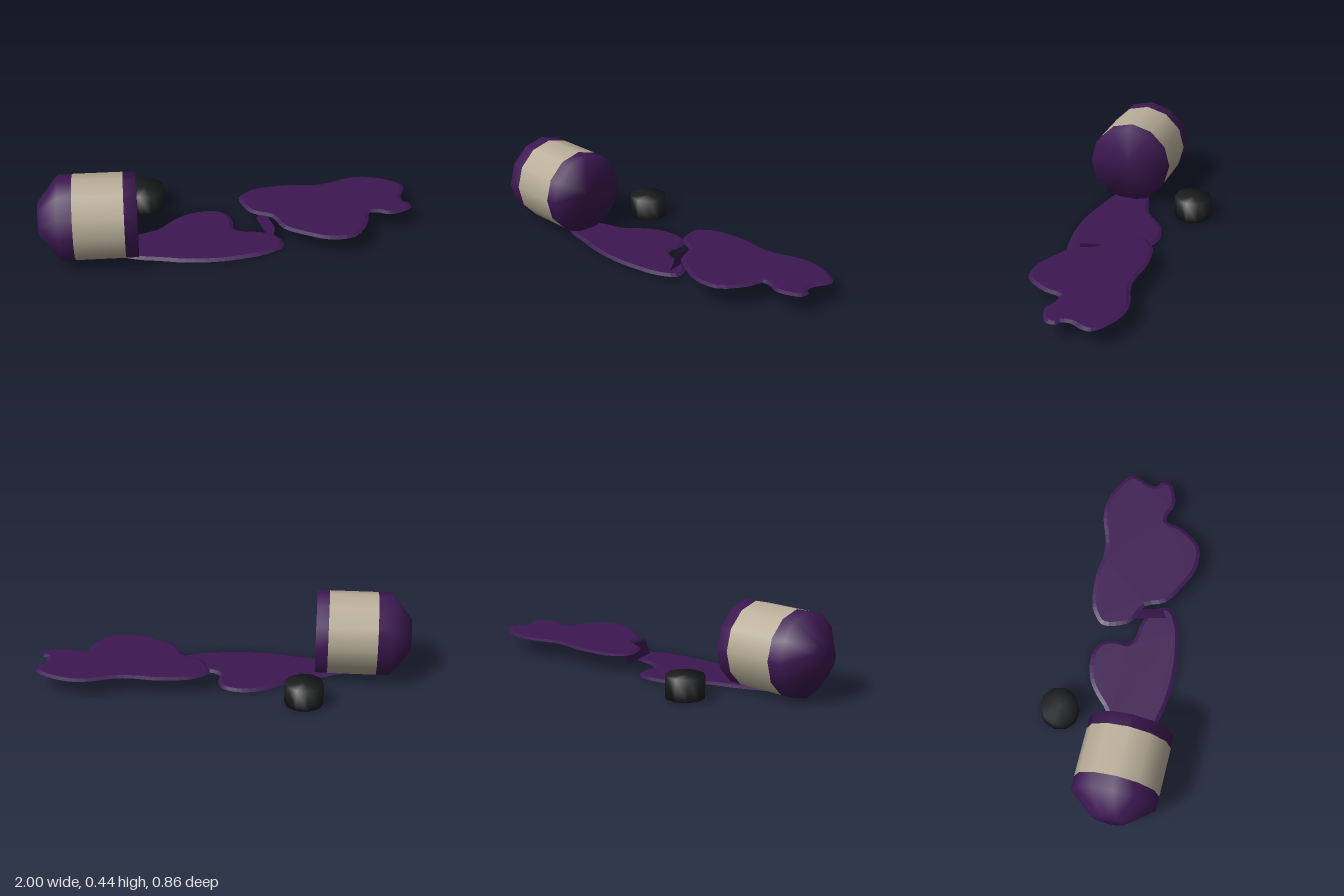
import * as THREE from 'three';

const material = (color) => new THREE.MeshStandardMaterial({ color, side: THREE.DoubleSide });
const purple = material(0x3d1852);
const cream = material(0xb8ad98);
const black = material(0x1b1c1e);

function addMesh(parent, name, geometry, mat) {
  const mesh = new THREE.Mesh(geometry, mat);
  mesh.name = name;
  parent.add(mesh);
  return mesh;
}

const lathe = (profile, sides) =>
  new THREE.LatheGeometry(profile.map(([r, y]) => new THREE.Vector2(r, y)), sides);

// Thin pool with a flat underside and a gently sloping rim, from an [x, z] outline
function poolGeometry(outline, height) {
  const curve = new THREE.CatmullRomCurve3(
    outline.map(([x, z]) => new THREE.Vector3(x, z, 0)), true, 'centripetal');
  const points = curve.getPoints(outline.length * 3).slice(0, -1);
  const shape = new THREE.Shape(points.map((p) => new THREE.Vector2(p.x, p.y)));
  const geometry = new THREE.ExtrudeGeometry(shape, {
    depth: 0.001, bevelThickness: height, bevelSize: 0.02, bevelOffset: -0.02, bevelSegments: 1,
  });
  geometry.rotateX(Math.PI / 2);
  const pos = geometry.attributes.position;
  for (let i = 0; i < pos.count; i++) pos.setY(i, Math.max(0, pos.getY(i)));
  geometry.computeVertexNormals();
  return geometry;
}

export function createModel() {
  const model = new THREE.Group();
  model.name = 'spilledJar';

  // Jar lying on its side; its local y axis runs from the base to the mouth
  const jar = new THREE.Group();
  jar.name = 'jar';
  const R = 0.22;
  addMesh(jar, 'jarBody',
    lathe([[0, -0.5], [0.088, -0.5], [R, -0.395], [R, 0], [0, 0]], 12), purple);
  addMesh(jar, 'jarLabel', lathe([[R + 0.001, -0.322], [R + 0.001, -0.065]], 12), cream);
  jar.rotation.set(0, -THREE.MathUtils.degToRad(14), -Math.PI / 2);
  jar.position.set(-0.492, 0.222, 0.043);
  model.add(jar);

  // Lid standing behind the jar
  const lid = addMesh(model, 'lid',
    lathe([[0, 0], [0.101, 0], [0.101, 0.115], [0, 0.115]], 10), black);
  lid.position.set(-0.348, 0.005, -0.333);

  // Lower pool, spreading out of the mouth
  const lowerPool = addMesh(model, 'lowerPool', poolGeometry([
    [-0.68, -0.03], [-0.58, -0.06], [-0.47, -0.08], [-0.35, -0.09], [-0.25, -0.145],
    [-0.17, -0.175], [-0.05, -0.175], [0.02, -0.14], [0.047, -0.1], [0.05, -0.03],
    [0.035, 0.02], [0.06, 0.06], [0.17, 0.11], [0.23, 0.17], [0.235, 0.26],
    [0.13, 0.3], [0, 0.3], [-0.15, 0.28], [-0.3, 0.235], [-0.42, 0.18],
    [-0.53, 0.13], [-0.62, 0.06],
  ], 0.011), purple);
  lowerPool.position.y = 0.004;

  // Upper pool, one step higher
  const upperPool = addMesh(model, 'upperPool', poolGeometry([
    [0.11, -0.11], [0.17, -0.15], [0.23, -0.165], [0.4, -0.145], [0.5, -0.11],
    [0.59, -0.092], [0.74, -0.105], [0.83, -0.09], [0.92, -0.04], [1, 0.05],
    [0.985, 0.1], [0.945, 0.15], [0.94, 0.2], [0.96, 0.22], [0.95, 0.27],
    [0.88, 0.293], [0.815, 0.29], [0.765, 0.255], [0.72, 0.245], [0.68, 0.32],
    [0.565, 0.42], [0.43, 0.4], [0.34, 0.335], [0.24, 0.235], [0.215, 0.12],
    [0.135, 0.055], [0.11, 0],
  ], 0.009), purple);
  upperPool.position.y = 0.096;

  // Sheet of liquid running between the two pools
  const sheet = new THREE.BufferGeometry();
  sheet.setAttribute('position', new THREE.Float32BufferAttribute([
    0.178, 0.012, 0.237, 0.178, 0.012, -0.012, 0.198, 0.098, 0, 0.198, 0.098, 0.215,
  ], 3));
  sheet.setIndex([0, 1, 2, 0, 2, 3]);
  sheet.computeVertexNormals();
  addMesh(model, 'drippingSheet', sheet, purple);

  return model;
}
